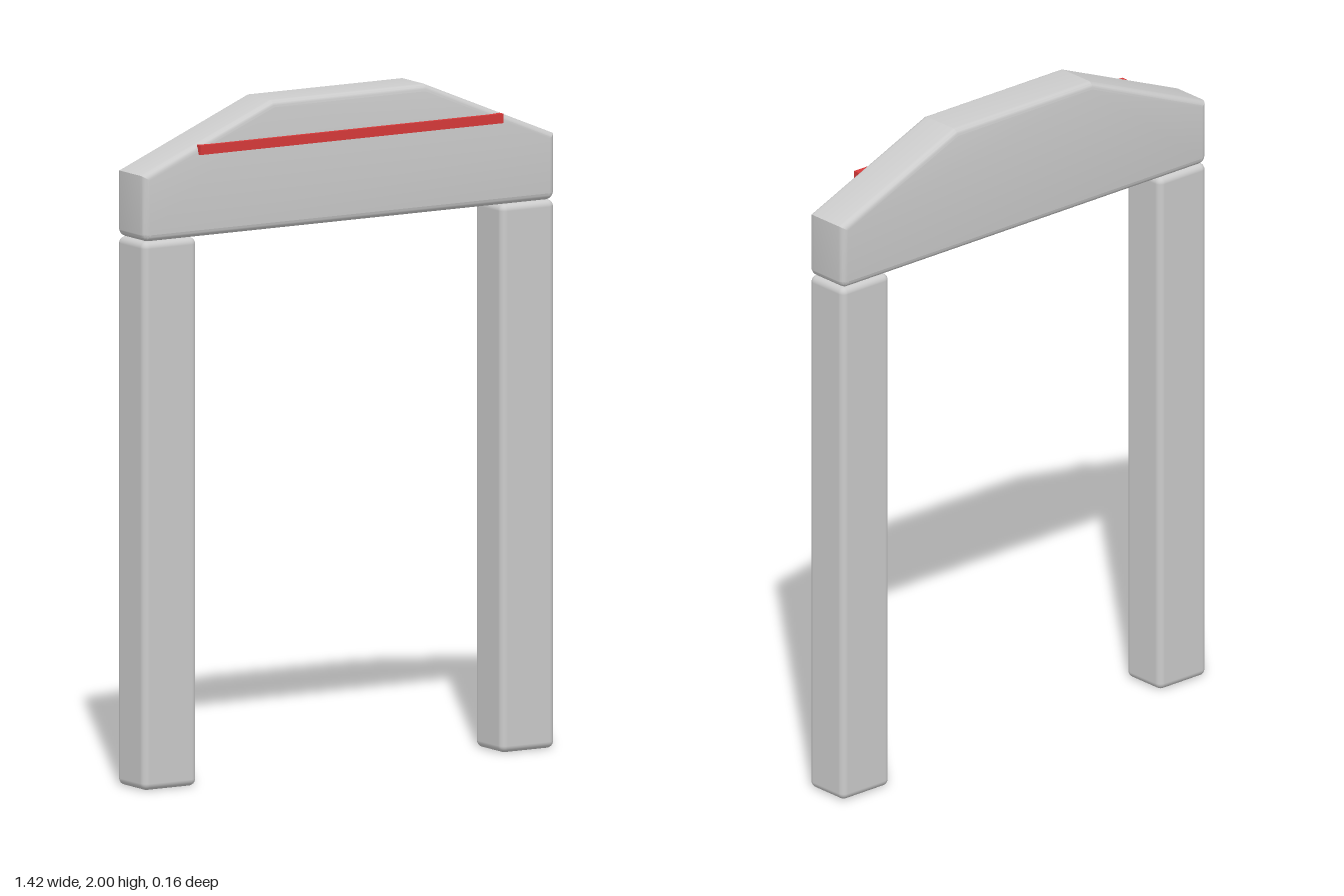
import * as THREE from 'three';
import { RoundedBoxGeometry } from 'three/addons/geometries/RoundedBoxGeometry.js';
import { toCreasedNormals } from 'three/addons/utils/BufferGeometryUtils.js';

const HALF_W = 0.71, DEPTH = 0.15, Z = -0.005; // shared by legs and beam
const BEAM_Y = 1.62, TOP_Y = 2, BEVEL = 0.02;

// Beam outline: flat bottom with rounded corners, sloped shoulders, flat crown
function beamGeometry() {
  const c = 0.024;
  const s = new THREE.Shape();
  s.moveTo(-HALF_W + c, BEAM_Y);
  s.lineTo(HALF_W - c, BEAM_Y);
  s.absarc(HALF_W - c, BEAM_Y + c, c, -Math.PI / 2, 0, false);
  s.lineTo(HALF_W, 1.815);
  s.lineTo(0.265, TOP_Y);
  s.lineTo(-0.265, TOP_Y);
  s.lineTo(-HALF_W, 1.815);
  s.lineTo(-HALF_W, BEAM_Y + c);
  s.absarc(-HALF_W + c, BEAM_Y + c, c, Math.PI, Math.PI * 1.5, false);
  const g = new THREE.ExtrudeGeometry(s, {
    depth: DEPTH - 2 * BEVEL, curveSegments: 6,
    bevelEnabled: true, bevelThickness: BEVEL, bevelSize: BEVEL,
    bevelOffset: -BEVEL, bevelSegments: 5,
  });
  g.translate(0, 0, Z - DEPTH / 2 + BEVEL);
  return toCreasedNormals(g, 0.35);
}

export function createModel() {
  const model = new THREE.Group();
  const grey = new THREE.MeshStandardMaterial({ color: 0xcccccc });
  const red = new THREE.MeshStandardMaterial({ color: 0xd83a3a });

  const add = (name, geometry, material, x, y, z) => {
    const mesh = new THREE.Mesh(geometry, material);
    mesh.name = name;
    mesh.position.set(x, y, z);
    model.add(mesh);
  };

  // Two upright posts
  const legW = 0.185;
  const leg = new RoundedBoxGeometry(legW, BEAM_Y, DEPTH, 4, BEVEL);
  for (const [name, side] of [['leftPost', 1], ['rightPost', -1]]) {
    add(name, leg, grey, side * (HALF_W - legW / 2), BEAM_Y / 2, Z);
  }

  // Lintel beam across the posts
  add('beam', beamGeometry(), grey, 0, 0, 0);

  // Thin red strip on the beam's front face
  add('strip', new THREE.BoxGeometry(1.046, 0.028, 0.02), red, 0, 1.878, 0.072);

  return model;
}
